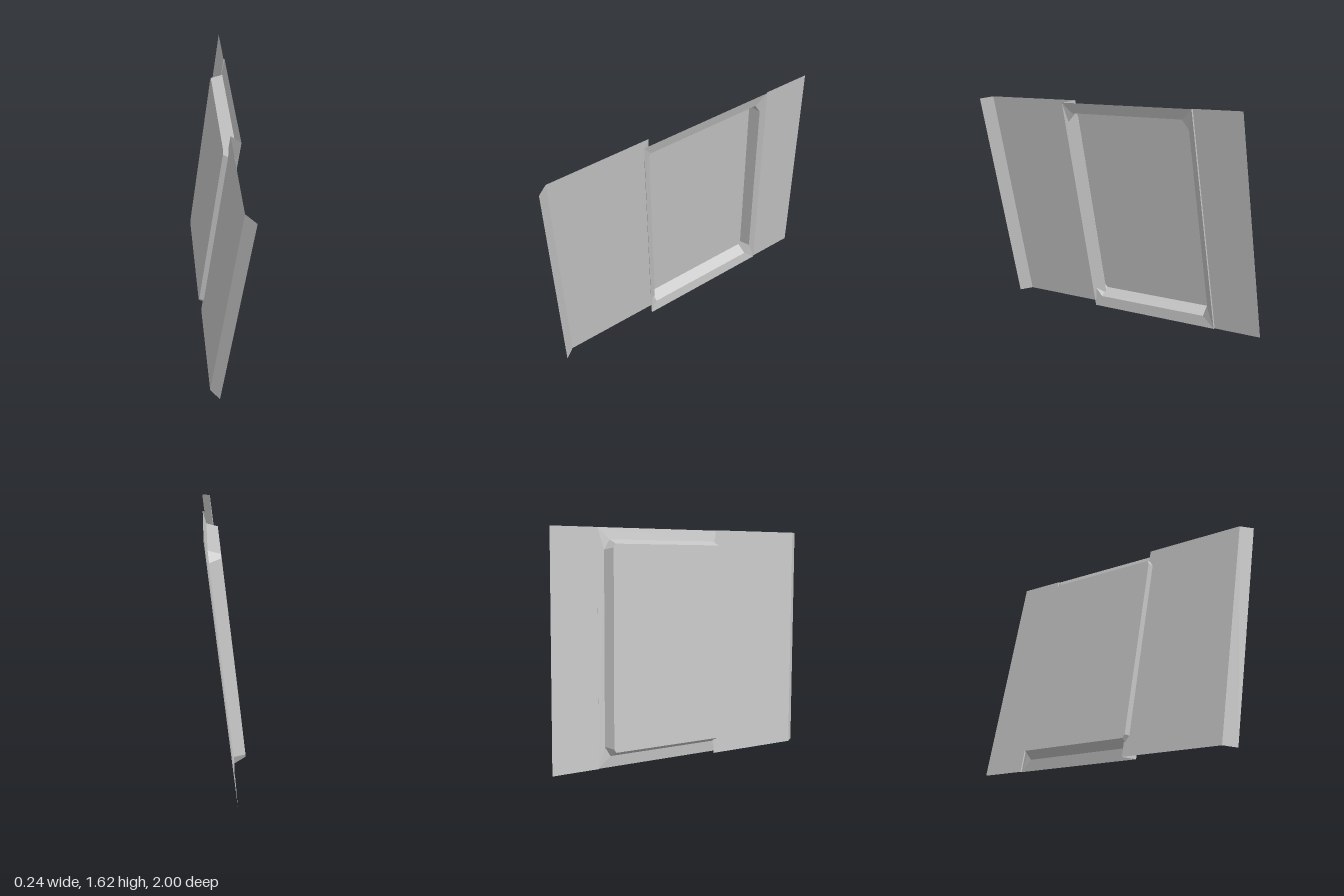
import * as THREE from 'three';

const HEIGHT = 1.468;

// Surface joining two rings (or open lines) of [w, t, d] points, flat shaded
function strip(name, a, b, material, closed = false) {
  const pos = [];
  const n = closed ? a.length : a.length - 1;
  for (let i = 0; i < n; i++) {
    const j = (i + 1) % a.length;
    pos.push(...a[i], ...a[j], ...b[j], ...a[i], ...b[j], ...b[i]);
  }
  const geo = new THREE.BufferGeometry();
  geo.setAttribute('position', new THREE.Float32BufferAttribute(pos, 3));
  geo.computeVertexNormals();
  const mesh = new THREE.Mesh(geo, material);
  mesh.name = name;
  return mesh;
}

// Full-height sheet following a [w, d] profile
function sheet(name, profile, material) {
  const at = (t) => profile.map(([w, d]) => [w, t, d]);
  return strip(name, at(0), at(HEIGHT), material);
}

// Rectangle with cut corners, counter-clockwise, eight points
function octagon(w0, w1, t0, t1, cw, ct, d) {
  return [
    [w0 + cw, t0], [w1 - cw, t0], [w1, t0 + ct], [w1, t1 - ct],
    [w1 - cw, t1], [w0 + cw, t1], [w0, t1 - ct], [w0, t0 + ct],
  ].map(([w, t]) => [w, t, d]);
}

export function createModel() {
  const grey = new THREE.MeshStandardMaterial({ color: 0xc4c4c4, side: THREE.DoubleSide });
  grey.name = 'sheet grey';

  // Panel built upright: x along its width, y up, z out of its face
  const panel = new THREE.Group();
  panel.name = 'panel';

  // Plain sheets, the folded end lip and the steps beside the frame
  panel.add(
    sheet('endLip', [[-0.07, 0.055], [0, 0]], grey),
    sheet('frontSheet', [[0, 0], [0.6625, 0]], grey),
    sheet('frameStep', [[0.6625, 0], [0.5975, 0.055]], grey),
    sheet('rearStep', [[1.495, 0.055], [1.499, 0.048]], grey),
    sheet('rearSheet', [[1.499, 0.048], [1.807, 0.048]], grey),
  );

  // Sloping border, recessed tray walls and tray floor
  const border = octagon(0.5975, 1.495, 0, HEIGHT, 0, 0, 0.055);
  const rim = octagon(0.612, 1.458, 0.073, 1.397, 0.038, 0.062, 0.041);
  const base = octagon(0.642, 1.4325, 0.107, 1.37, 0.014, 0.022, -0.03);
  panel.add(
    strip('frameBorder', border, rim, grey, true),
    strip('trayWalls', rim, base, grey, true),
  );
  const floorShape = new THREE.Shape(base.map(([w, t]) => new THREE.Vector2(w, t)));
  const floor = new THREE.Mesh(new THREE.ShapeGeometry(floorShape), grey);
  floor.name = 'trayFloor';
  floor.position.z = -0.03;
  panel.add(floor);

  // Lean the panel into place
  const across = new THREE.Vector3(0, 0.0857, -0.9963);
  const up = new THREE.Vector3(0.1144, 0.9896, 0.0872).normalize();
  const out = across.clone().cross(up).normalize();
  panel.quaternion.setFromRotationMatrix(new THREE.Matrix4().makeBasis(across, up, out));
  panel.position.set(-0.105, 0.013, 0.801);

  const model = new THREE.Group();
  model.name = 'recessedPanel';
  model.add(panel);
  return model;
}
